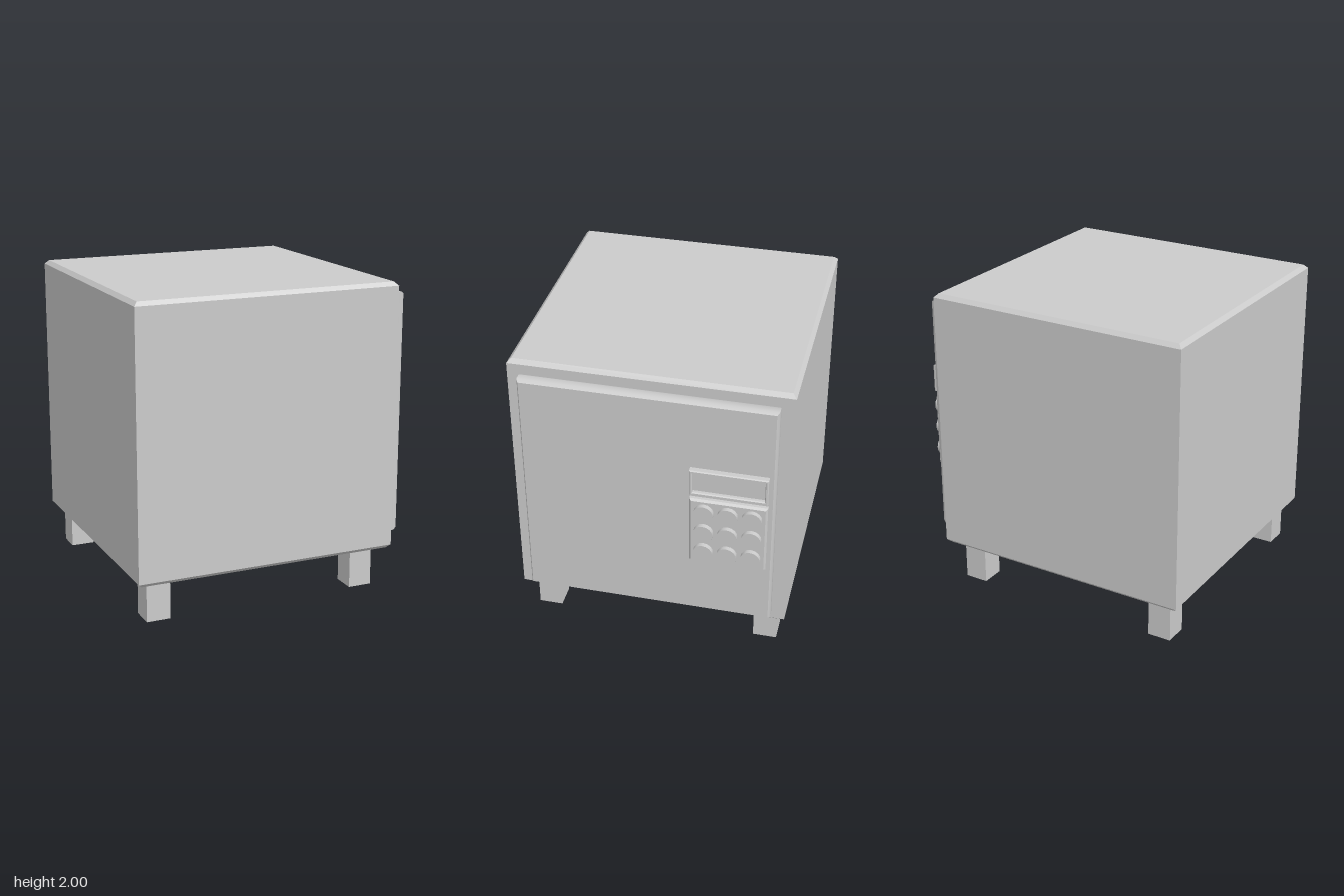
import * as THREE from 'three';
import { toCreasedNormals } from 'three/addons/utils/BufferGeometryUtils.js';

const material = new THREE.MeshStandardMaterial({ color: 0xcccccc });
const thinMaterial = new THREE.MeshStandardMaterial({ color: 0xcccccc, side: THREE.DoubleSide });

function rectangle(PathType, w, h) {
  const x = w / 2, y = h / 2;
  return new PathType([[-x, -y], [x, -y], [x, y], [-x, y]].map(([a, b]) => new THREE.Vector2(a, b)));
}

// Rectangular slab from z = 0 to depth with bevelled rims at both ends
function slab(w, h, depth, bevelSize, bevelThickness, crease = 0.6, hole = null) {
  const shape = rectangle(THREE.Shape, w, h);
  if (hole) shape.holes.push(rectangle(THREE.Path, ...hole));
  const geometry = new THREE.ExtrudeGeometry(shape, {
    depth: depth - 2 * bevelThickness, bevelEnabled: bevelThickness > 0,
    bevelSize, bevelThickness, bevelOffset: -bevelSize, bevelSegments: 1,
  });
  geometry.translate(0, 0, bevelThickness);
  return toCreasedNormals(geometry, crease);
}

export function createModel() {
  const model = new THREE.Group();
  model.name = 'safe';
  const add = (name, geometry, x, y, z, mat = material) => {
    const mesh = new THREE.Mesh(geometry, mat);
    mesh.name = name;
    mesh.position.set(x, y, z);
    model.add(mesh);
  };

  // Cabinet: only the top and bottom rims are chamfered
  add('cabinet', slab(1.745, 1.75, 1.75, 0.025, 0.025, 0.3).rotateX(-Math.PI / 2), -0.0775, 0.25, 0);

  // Door on the +x side
  const side = (geometry) => geometry.rotateY(Math.PI / 2);
  add('door', side(slab(1.585, 1.58, 0.09, 0.013, 0.022)), 0.795, 1.13, 0);

  // Display: raised frame around a recessed screen
  const panelZ = -0.513;
  add('displayFrame', side(slab(0.485, 0.18, 0.06, 0.005, 0.008, 0.3, [0.445, 0.14])), 0.865, 1.37, panelZ);
  add('displayScreen', side(slab(0.46, 0.155, 0.03, 0, 0)), 0.868, 1.37, panelZ);

  // Keypad with a three by three grid of round buttons
  add('keypad', side(slab(0.485, 0.48, 0.055, 0.012, 0.014)), 0.865, 1.005, panelZ);
  const button = new THREE.CylinderGeometry(0.063, 0.063, 0.04, 16).rotateZ(-Math.PI / 2);
  for (let row = -1; row <= 1; row++) {
    for (let column = -1; column <= 1; column++) {
      add('keypadButton', button, 0.93, 1.005 + row * 0.151, panelZ + column * 0.149);
    }
  }

  // Square hollow legs, open at the bottom
  const leg = new THREE.CylinderGeometry(0.155 / Math.SQRT2, 0.155 / Math.SQRT2, 0.25, 4, 1, true)
    .rotateY(Math.PI / 4);
  const legGeometry = toCreasedNormals(leg, 0.3);
  for (const x of [-0.802, 0.605]) {
    for (const z of [-0.737, 0.737]) add('leg', legGeometry, x, 0.125, z, thinMaterial);
  }
  return model;
}
